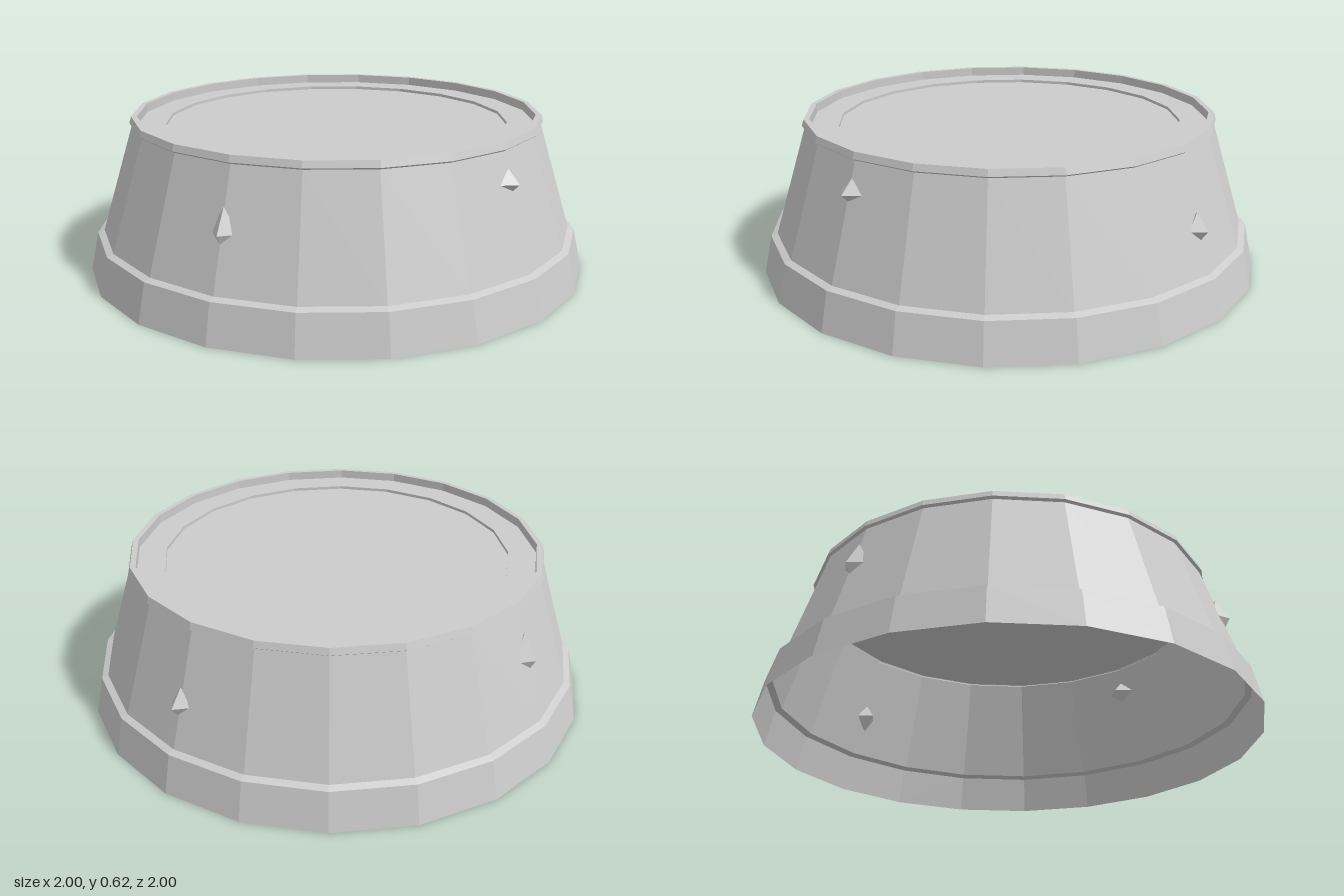
import * as THREE from 'three';

const material = new THREE.MeshStandardMaterial({
  color: 0xcccccc, flatShading: true, side: THREE.DoubleSide,
});
const SIDES = 20;

// Thin faceted surface turned around y from [radius, height] pairs
function ring(name, profile) {
  const points = profile.map(([r, y]) => new THREE.Vector2(r, y));
  const mesh = new THREE.Mesh(new THREE.LatheGeometry(points, SIDES), material);
  mesh.name = name;
  return mesh;
}

// Small diamond-shaped chip half sunk into the wall, facing outward
function chip(name, x, y, z, width, height, depth) {
  const mesh = new THREE.Mesh(new THREE.OctahedronGeometry(1, 0), material);
  mesh.name = name;
  mesh.scale.set(width / 2, height / 2, depth / 2);
  mesh.position.set(x, y, z);
  mesh.rotation.y = Math.atan2(x, z);
  return mesh;
}

export function createModel() {
  const group = new THREE.Group();
  group.name = 'facetedBase';

  group.add(
    // Flared foot with the narrow ledge on top, open underneath
    ring('foot', [[1, 0], [0.967, 0.15], [0.942, 0.16]]),
    // Tapering wall
    ring('wall', [[0.942, 0.16], [0.81, 0.585]]),
    // Raised lip around the top
    ring('lip', [[0.81, 0.585], [0.82, 0.592], [0.812, 0.617], [0.79, 0.617], [0.79, 0.582]]),
    // Top plate with a shallow round recess
    ring('topPlate', [[0.79, 0.582], [0.68, 0.582], [0.68, 0.57], [0, 0.57]]),
  );

  // Chips scattered on the wall
  group.add(
    chip('frontLeftChip', 0.49, 0.475, 0.67, 0.12, 0.1, 0.1),
    chip('frontRightChip', -0.505, 0.36, 0.695, 0.11, 0.18, 0.1),
    chip('backLeftChip', 0.715, 0.32, -0.515, 0.09, 0.13, 0.1),
    chip('backRightChip', -0.5, 0.4, -0.68, 0.13, 0.2, 0.11),
  );
  return group;
}
